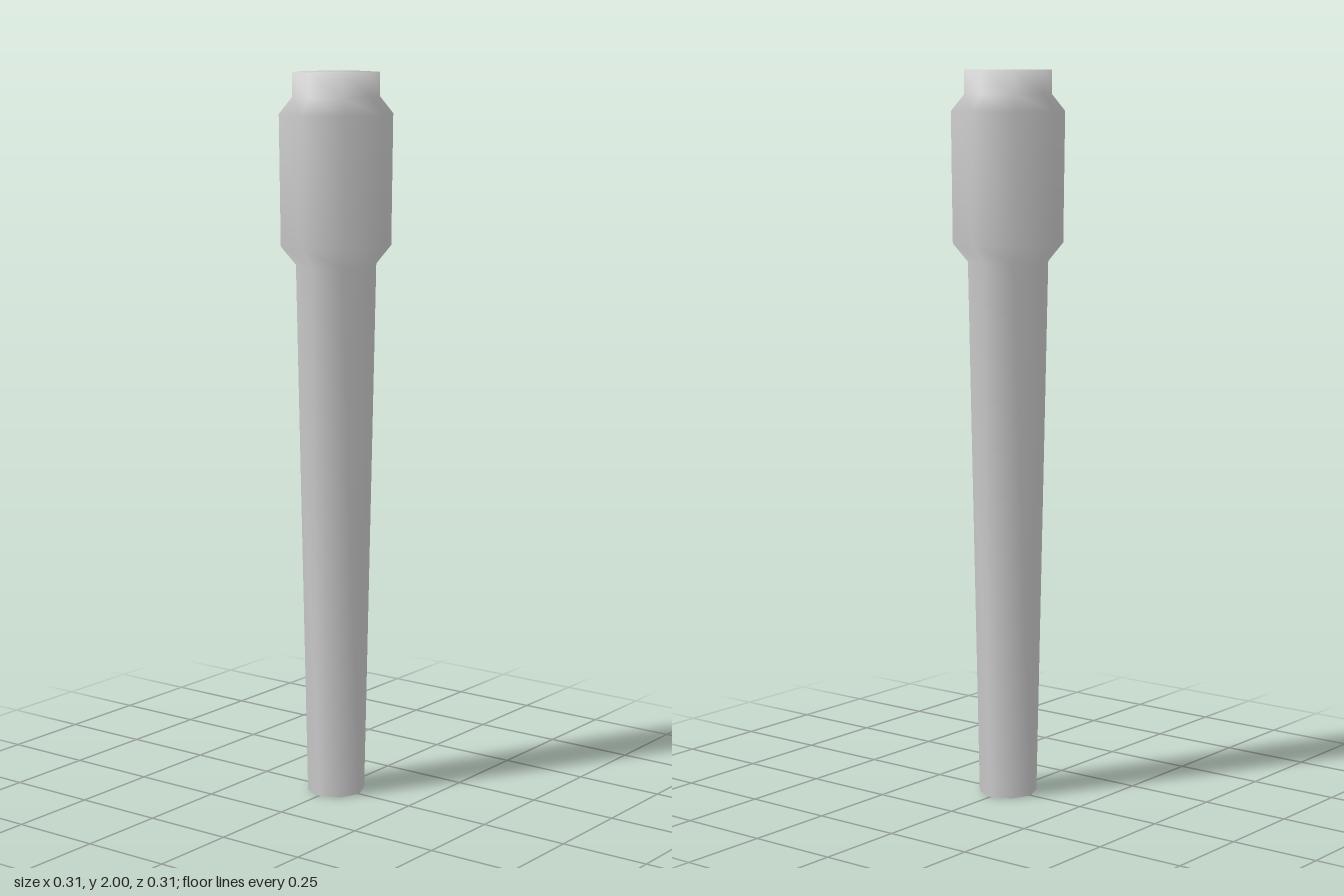
import * as THREE from 'three';
import { mergeVertices } from 'three/addons/utils/BufferGeometryUtils.js';

const SIDES = 8;

// Radius and height of each ring, from the closed foot to the closed top
const PROFILE = [
  [0, 0],
  [0.08, 0], // foot
  [0.11, 1.485], // top of the tapered shaft
  [0.151, 1.535], // lower shoulder of the collar
  [0.155, 1.89], // upper shoulder of the collar
  [0.119, 1.935], // base of the neck
  [0.119, 2], // rim of the neck
  [0, 2],
];

export function createModel() {
  const group = new THREE.Group();
  group.name = 'taperedPost';

  // Eight-sided turned body, with normals smoothed across every edge
  const points = PROFILE.map(([r, y]) => new THREE.Vector2(r, y));
  let geometry = new THREE.LatheGeometry(points, SIDES);
  geometry.deleteAttribute('normal');
  geometry.deleteAttribute('uv');
  geometry = mergeVertices(geometry, 1e-4);
  geometry.computeVertexNormals();

  const body = new THREE.Mesh(geometry, new THREE.MeshStandardMaterial({ color: 0xcccccc }));
  body.name = 'shaftWithCollar';
  group.add(body);
  return group;
}
